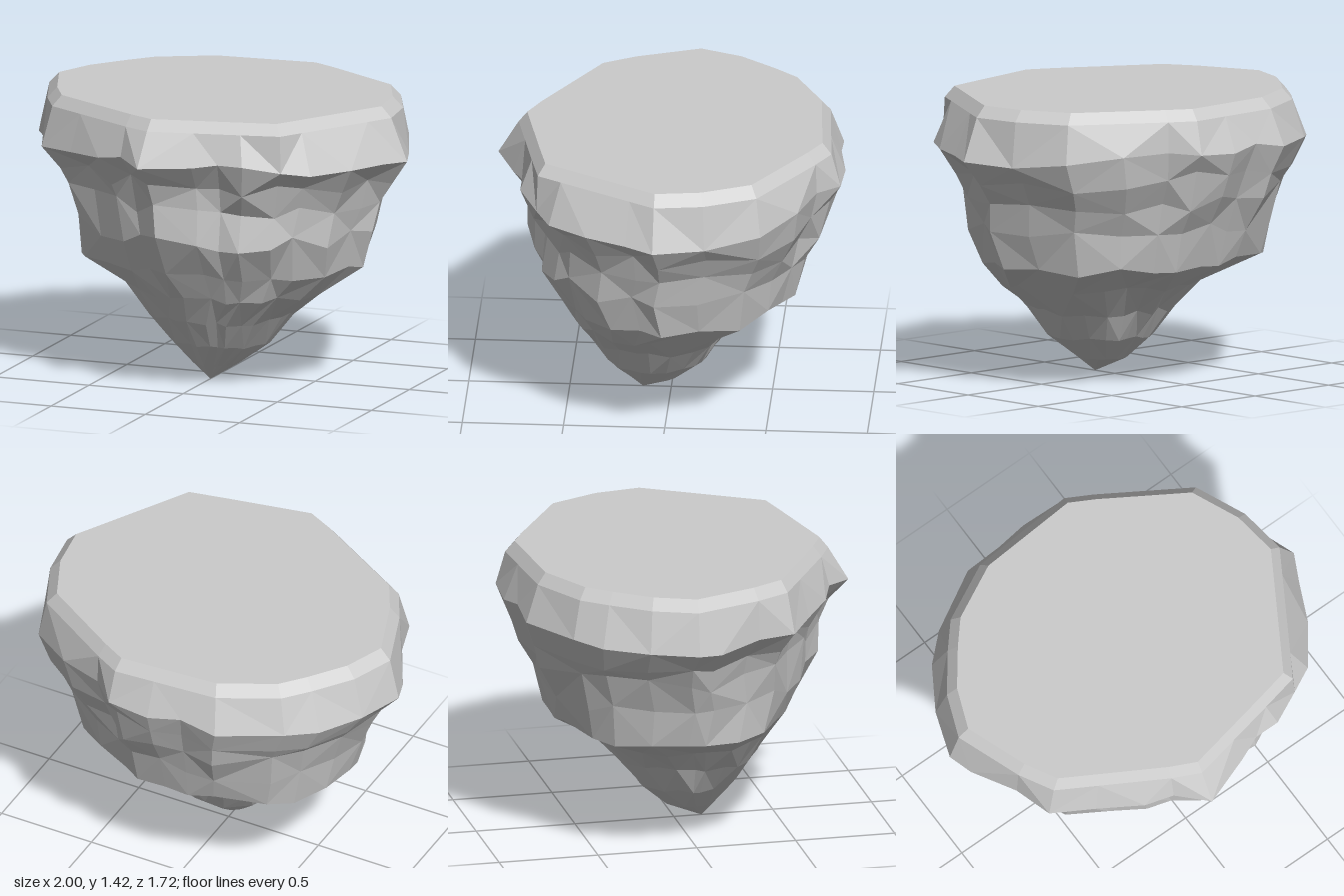
import * as THREE from 'three';

// Widest outline of the rock, as [x, z], going from +x towards +z
const OUTLINE = [
  [1, 0.03], [0.93, 0.17], [0.84, 0.37], [0.7, 0.56], [0.57, 0.63], [0.4, 0.72], [0.27, 0.72], [0.15, 0.77],
  [-0.1, 0.86], [-0.24, 0.73], [-0.38, 0.68], [-0.58, 0.55], [-0.78, 0.43], [-0.84, 0.24], [-0.96, 0.02], [-1, -0.1],
  [-0.92, -0.33], [-0.79, -0.54], [-0.66, -0.66], [-0.36, -0.83], [-0.17, -0.83], [0, -0.86],
  [0.22, -0.85], [0.34, -0.74], [0.57, -0.66], [0.8, -0.49], [0.91, -0.22],
];

// Corners of the flat top, as [x, z]
const TOP = [
  [0.89, -0.02], [0.53, 0.59], [-0.1, 0.72], [-0.73, 0.36], [-0.9, -0.1], [-0.8, -0.33],
  [-0.59, -0.58], [-0.34, -0.72], [0.21, -0.76], [0.76, -0.42],
];

// Levels below the top: y, x from/to, z from/to, roughness inwards, roughness in height,
// sag at the left and right, roundness of the outline
const LEVELS = [
  [1.21, -1, 1, -0.86, 0.86, 0, 0.02, 0.06, 0],
  [1.09, -0.92, 0.93, -0.83, 0.79, 0.04, 0.035, 0.05, 0],
  [0.95, -0.86, 0.88, -0.78, 0.74, 0.05, 0.045, 0, 0.1],
  [0.79, -0.79, 0.82, -0.71, 0.73, 0.05, 0.04, 0, 0.25],
  [0.61, -0.72, 0.76, -0.65, 0.61, 0.03, 0.02, 0.01, 0.4],
  [0.48, -0.49, 0.61, -0.43, 0.53, 0.04, 0.02, 0, 0.5],
  [0.34, -0.36, 0.41, -0.29, 0.44, 0.04, 0.015, 0, 0.5],
  [0.2, -0.24, 0.3, -0.19, 0.34, 0.03, 0.01, 0, 0.5],
  [0.08, -0.11, 0.13, -0.05, 0.22, 0, 0, 0, 0.5],
];

// Lobes and grooves: angle in degrees, half width, height of centre, half height, change of radius
const LOBES = [
  [160, 32, 0.6, 0.17, 0.09],
  [215, 34, 0.7, 0.27, 0.12],
  [184, 18, 0.4, 0.18, -0.18],
  [-62, 18, 0.42, 0.22, -0.14],
];

function seeded(seed) {
  return () => {
    seed = (seed * 16807) % 2147483647;
    return seed / 2147483647;
  };
}

// Point where a ray from the axis through [dx, dz] meets a polygon
function castTo(polygon, [dx, dz]) {
  for (let i = 0; i < polygon.length; i++) {
    const [ax, az] = polygon[i];
    const [bx, bz] = polygon[(i + 1) % polygon.length];
    const ex = bx - ax, ez = bz - az;
    const det = dx * ez - dz * ex;
    const t = (ax * ez - az * ex) / det;
    const s = (ax * dz - az * dx) / det;
    if (t > 0 && s >= -1e-6 && s <= 1 + 1e-6) return [dx * t, dz * t];
  }
  return [dx, dz];
}

// Change of radius caused by all lobes and grooves at one point
function lobeAt(x, y, z) {
  const degrees = THREE.MathUtils.radToDeg(Math.atan2(z, x));
  let sum = 0;
  for (const [angle, width, height, reach, amount] of LOBES) {
    const turn = Math.abs(THREE.MathUtils.euclideanModulo(degrees - angle + 180, 360) - 180);
    sum += amount * Math.max(0, 1 - turn / width) * Math.max(0, 1 - Math.abs(y - height) / reach);
  }
  return sum;
}

function rockRings() {
  const random = seeded(4711);
  const flat = OUTLINE.map((p) => castTo(TOP, p));
  const rings = [
    flat.map(([x, z]) => [x, 1.425, z]),
    flat.map(([x, z]) => [x * 1.06, 1.37, z * 1.06]),
  ];
  for (const [y, x0, x1, z0, z1, rough, lift, sag, round] of LEVELS) {
    rings.push(OUTLINE.map(([x, z]) => {
      const ellipse = 1 / Math.hypot(x, z / 0.86);
      const k = THREE.MathUtils.lerp(1, ellipse, round) - rough * random() + lobeAt(x, y, z);
      return [
        (x0 + x1) / 2 + x * k * (x1 - x0) / 2,
        y + lift * (random() * 2 - 1) - sag * x * x,
        (z0 + z1) / 2 + (z / 0.86) * k * (z1 - z0) / 2,
      ];
    }));
  }
  return rings;
}

function mesh(name, positions) {
  const geometry = new THREE.BufferGeometry();
  geometry.setAttribute('position', new THREE.Float32BufferAttribute(positions, 3));
  geometry.computeVertexNormals();
  const material = new THREE.MeshStandardMaterial({ color: 0xcccccc, flatShading: true });
  const result = new THREE.Mesh(geometry, material);
  result.name = name;
  return result;
}

export function createModel() {
  const group = new THREE.Group();
  group.name = 'floatingRock';
  const rings = rockRings();
  const n = OUTLINE.length;

  // Flat top
  const top = [];
  for (let i = 0; i < n; i++) top.push(0, 1.425, 0, ...rings[0][(i + 1) % n], ...rings[0][i]);
  group.add(mesh('flatTop', top));

  // Craggy sides, with the diagonals of the facets alternating
  const sides = [];
  for (let r = 0; r < rings.length - 1; r++) {
    for (let i = 0; i < n; i++) {
      const j = (i + 1) % n;
      const a = rings[r][i], b = rings[r][j], c = rings[r + 1][i], d = rings[r + 1][j];
      if ((i + r) % 2) sides.push(...a, ...b, ...c, ...b, ...d, ...c);
      else sides.push(...a, ...b, ...d, ...a, ...d, ...c);
    }
  }

  // Pointed tip
  const last = rings[rings.length - 1];
  for (let i = 0; i < n; i++) sides.push(...last[i], ...last[(i + 1) % n], 0, 0, 0.14);
  group.add(mesh('rockBody', sides));

  return group;
}
